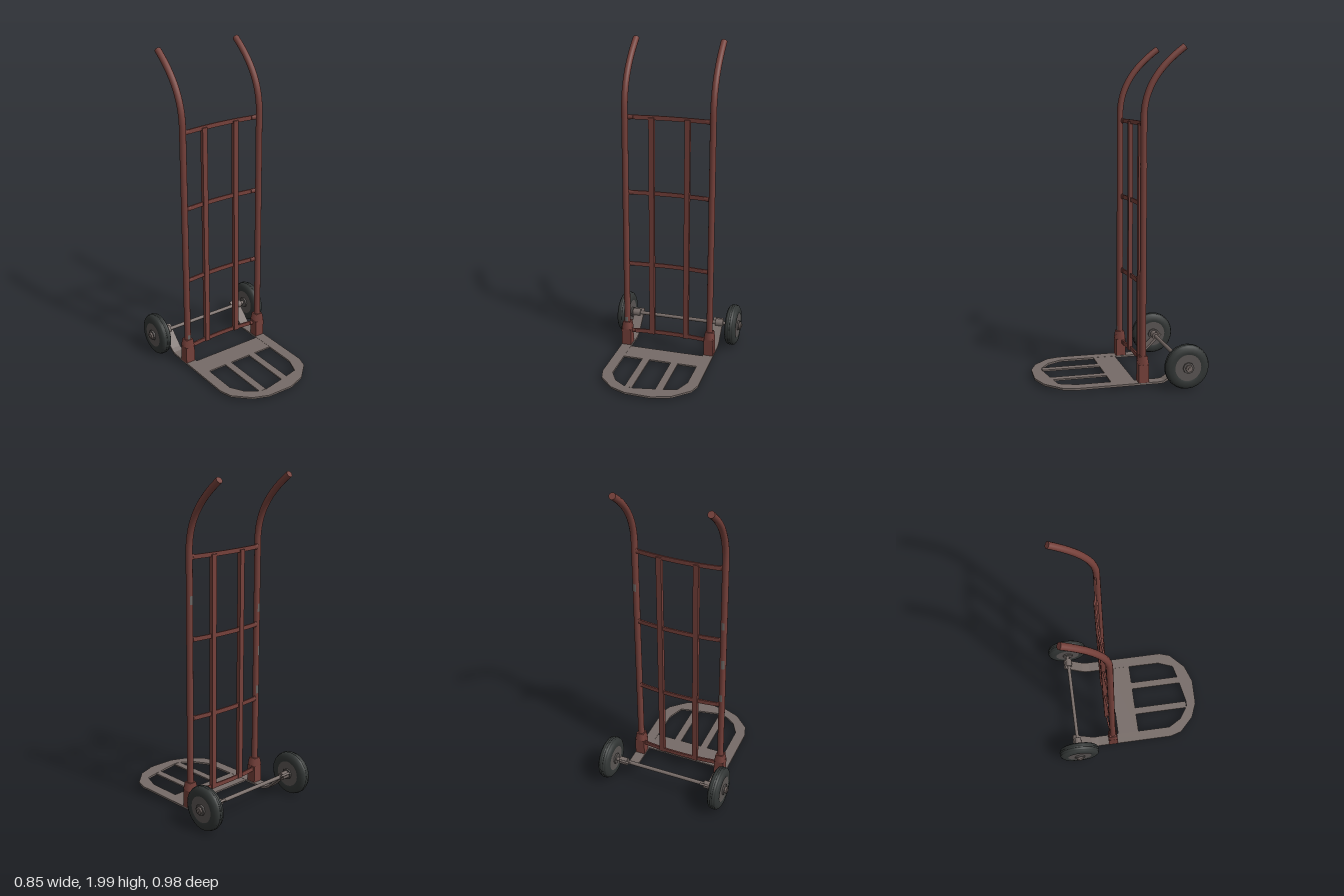
import * as THREE from 'three';

const mat = (name, color, double = false) => {
  const m = new THREE.MeshStandardMaterial({ color });
  m.name = name;
  if (double) m.side = THREE.DoubleSide;
  return m;
};

export function createModel() {
  const red = mat('red paint', 0x75403a);
  const steel = mat('bare steel', 0x766b67);
  const worn = mat('worn metal', 0x6a6663, true);
  const rubber = mat('black rubber', 0x323635);
  const hubGrey = mat('hub grey', 0x5a5553);
  const CX = -0.011; // middle of the frame
  const HALF = 0.274; // frame centre to upright
  const ZU = -0.12; // upright plane
  const model = new THREE.Group();
  model.name = 'handTruck';

  const add = (name, geo, material, x = 0, y = 0, z = 0, parent = model) => {
    const m = new THREE.Mesh(geo, material);
    m.name = name;
    m.position.set(x, y, z);
    parent.add(m);
    return m;
  };
  const box = (name, w, h, d, material, x, y, z) =>
    add(name, new THREE.BoxGeometry(w, h, d), material, x, y, z);
  // cylinder or cone lying along x
  const rod = (name, rNeg, rPos, len, sides, material, x, y, z, parent) =>
    add(name, new THREE.CylinderGeometry(rNeg, rPos, len, sides).rotateZ(Math.PI / 2), material, x, y, z, parent);
  const shapeOf = (pts) => new THREE.Shape(pts.map(([a, b]) => new THREE.Vector2(a, b)));
  const extrude = (shape, depth) => new THREE.ExtrudeGeometry(shape, { depth, bevelEnabled: false });

  // toe plate: U-shaped rim lying flat, outline given as x, z
  const rim = shapeOf([
    [-0.315, -0.23], [-0.315, 0.28], [-0.293, 0.355], [-0.2, 0.447], [-0.105, 0.486], [0.06, 0.491],
    [0.175, 0.452], [0.272, 0.36], [0.295, 0.29], [0.295, -0.23], [0.23, -0.23], [0.226, 0.27],
    [0.187, 0.37], [0.1, 0.39], [-0.08, 0.424], [-0.115, 0.422], [-0.2, 0.365], [-0.249, 0.28], [-0.249, -0.23],
  ]);
  add('toePlateRim', extrude(rim, 0.012).rotateX(Math.PI / 2), steel, 0, 0.034, 0);
  box('toePlatePanel', 0.485, 0.01, 0.142, steel, CX, 0.028, -0.008);
  for (const x of [-0.103, 0.083]) box('toePlateSlat', 0.046, 0.01, 0.37, steel, x, 0.028, 0.235);

  // bent strips from the plate up to the axle, profile given as z, y
  const bend = shapeOf([
    [-0.22, 0.022], [-0.245, 0.025], [-0.275, 0.042], [-0.392, 0.155],
    [-0.383, 0.164], [-0.267, 0.053], [-0.242, 0.037], [-0.22, 0.034],
  ]);

  // upright with curved handle
  const handlePath = new THREE.CurvePath();
  const v = (y, z) => new THREE.Vector3(0, y, z);
  handlePath.add(new THREE.LineCurve3(v(0.03, ZU), v(1.58, ZU)));
  handlePath.add(new THREE.CubicBezierCurve3(v(1.58, ZU), v(1.78, ZU), v(1.9, -0.25), v(1.982, -0.36)));
  const uprightGeo = new THREE.TubeGeometry(handlePath, 60, 0.02, 12);
  const tip = handlePath.getPointAt(1);
  const tipDir = handlePath.getTangentAt(1);

  for (const s of [-1, 1]) {
    const x = CX + s * HALF;
    add('upright', uprightGeo, red, x);
    const cap = add('handleEnd', new THREE.CircleGeometry(0.02, 12), red, x, tip.y, tip.z);
    cap.quaternion.setFromUnitVectors(new THREE.Vector3(0, 0, 1), tipDir);

    // socket at the foot of the upright
    box('socket', 0.062, 0.11, 0.06, red, x, 0.087, ZU);
    const collar = new THREE.CylinderGeometry(0.034, 0.043, 0.05, 4).rotateY(Math.PI / 4);
    add('socketCollar', collar, red, x, 0.167, ZU);

    add('axleStrip', extrude(bend, 0.065).rotateY(-Math.PI / 2), steel, CX + s * 0.2725 + 0.0325);
    rod('axleCollar', 0.024, 0.024, 0.05, 10, steel, CX + s * 0.285, 0.14, -0.36);
  }

  // bowed flat rungs with flared ends
  const bowZ = (x) => -0.149 + 0.022 * (x / HALF) ** 2;
  const band = [];
  const N = 12;
  for (let i = 0; i <= N; i++) {
    const x = HALF * (2 * i / N - 1);
    band.push([x, bowZ(x) + 0.005]);
  }
  for (let i = N; i >= 0; i--) {
    const x = HALF * (2 * i / N - 1);
    band.push([x, bowZ(x) - 0.005]);
  }
  const rungGeo = extrude(shapeOf(band), 0.026).rotateX(Math.PI / 2).translate(0, 0.013, 0);
  for (const y of [0.122, 0.592, 1.068, 1.544]) {
    add('rung', rungGeo, red, CX, y, 0);
    for (const s of [-1, 1]) {
      // flare is wider toward the upright
      const flare = rod('rungEnd', s < 0 ? 0.018 : 0.012, s < 0 ? 0.012 : 0.018, 0.035, 8, red,
        CX + s * 0.242, y, -0.13);
      flare.scale.z = 0.45;
      flare.rotation.x = 0;
    }
  }

  // vertical slats of the back
  for (const x of [-0.123, 0.102]) box('backSlat', 0.033, 1.435, 0.026, red, x, 0.828, -0.144);

  // axle
  rod('axle', 0.012, 0.012, 0.66, 10, steel, -0.003, 0.14, -0.36);

  // wheel, turned about its own axle: points are radius, offset
  const lathe = (pts, sides) =>
    new THREE.LatheGeometry(pts.map(([r, a]) => new THREE.Vector2(r, a)), sides).rotateZ(-Math.PI / 2);
  const tyreGeo = lathe([
    [0.07, -0.03], [0.088, -0.036], [0.112, -0.034], [0.127, -0.024], [0.13, -0.016], [0.126, -0.012],
    [0.134, -0.008], [0.129, -0.002], [0.129, 0.002], [0.134, 0.008], [0.126, 0.012], [0.13, 0.016],
    [0.127, 0.024], [0.112, 0.034], [0.088, 0.036], [0.07, 0.03],
  ], 24);
  for (const s of [-1, 1]) {
    const wheel = new THREE.Group();
    wheel.name = s > 0 ? 'leftWheel' : 'rightWheel';
    wheel.position.set(s * 0.365, 0.14, -0.358);
    model.add(wheel);
    add('tyre', tyreGeo, rubber, 0, 0, 0, wheel);
    rod('hubDisc', 0.085, 0.085, 0.066, 8, hubGrey, 0, 0, 0, wheel);
    rod('hubBoss', 0.034, 0.034, 0.086, 8, hubGrey, 0, 0, 0, wheel);
    rod('axleNut', 0.022, 0.022, 0.016, 6, steel, s * 0.046, 0, 0, wheel);
    rod('axleEnd', 0.01, 0.01, 0.12, 8, steel, 0, 0, 0, wheel);
  }

  // small patches of chipped paint: side, height, length, facing angle
  const chips = [
    [-1, 1.17, 0.05, Math.PI], [-1, 0.9, 0.06, 3.4], [-1, 0.65, 0.05, 3.0], [1, 1.3, 0.05, 3.1], [-1, 0.21, 0.03, 0],
  ];
  for (const [s, y, len, angle] of chips) {
    const chip = new THREE.CylinderGeometry(0.0206, 0.0206, len, 4, 1, true, angle - 0.5, 1);
    add('chippedPaint', chip, worn, CX + s * HALF, y, ZU);
  }
  return model;
}
